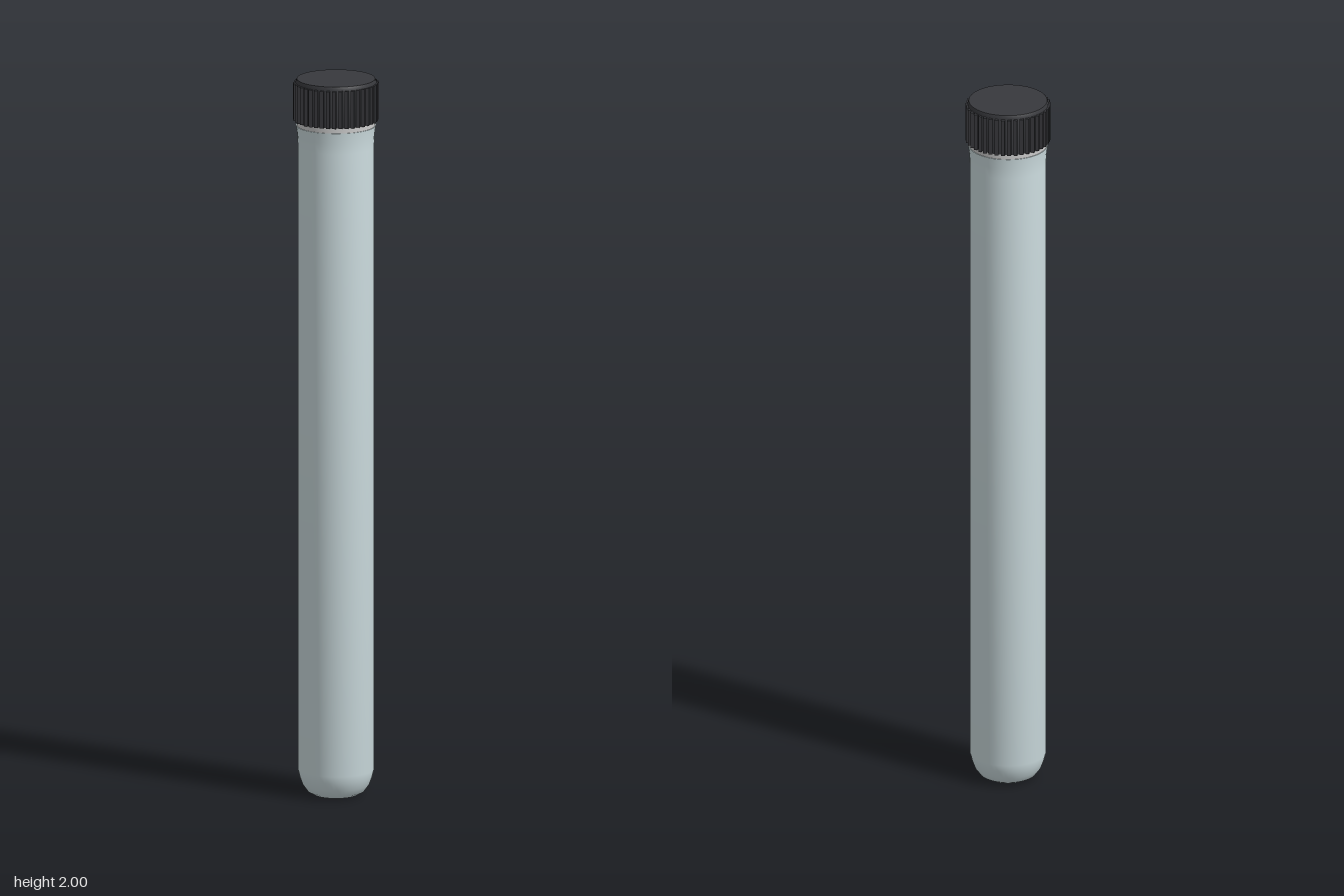
import * as THREE from 'three';
import { toCreasedNormals } from 'three/addons/utils/BufferGeometryUtils.js';

const material = (color) => new THREE.MeshStandardMaterial({ color });

// Turns a [radius, height] profile around the y axis, keeping sharp edges
function turned(name, profile, mat) {
  const points = profile.map(([r, y]) => new THREE.Vector2(r, y));
  const geometry = toCreasedNormals(new THREE.LatheGeometry(points, 48), 0.45);
  const mesh = new THREE.Mesh(geometry, mat);
  mesh.name = name;
  return mesh;
}

export function createModel() {
  const model = new THREE.Group();
  model.name = 'cappedTube';
  const glass = material(0xcfdfe2);
  const black = material(0x38393d);

  // Long tube with a chamfered foot and a slightly flared mouth
  model.add(turned('tube', [
    [0, 0], [0.06, 0], [0.078, 0.01], [0.091, 0.028], [0.099, 0.05], [0.104, 0.07],
    [0.104, 1.81], [0.105, 1.84], [0.109, 1.87], [0.095, 1.87],
  ], glass));

  // Pale lip between the tube and the cap
  model.add(turned('lip', [
    [0.095, 1.868], [0.107, 1.868], [0.107, 1.886], [0.095, 1.886],
  ], material(0xffffff)));

  // Screw cap with a small bevel at the top
  const cap = new THREE.Group();
  cap.name = 'cap';
  cap.add(turned('capBody', [
    [0, 1.885], [0.11, 1.885], [0.11, 1.992], [0.107, 2], [0, 2],
  ], black));

  // Upright grip ribs, all square to the axes
  const ribCount = 40;
  const ribGeometry = new THREE.BoxGeometry(0.01, 0.104, 0.017);
  for (let i = 0; i < ribCount; i++) {
    const angle = (i / ribCount) * Math.PI * 2;
    const rib = new THREE.Mesh(ribGeometry, black);
    rib.name = 'gripRib';
    rib.position.set(Math.cos(angle) * 0.11, 1.937, Math.sin(angle) * 0.11);
    cap.add(rib);
  }
  model.add(cap);
  return model;
}
